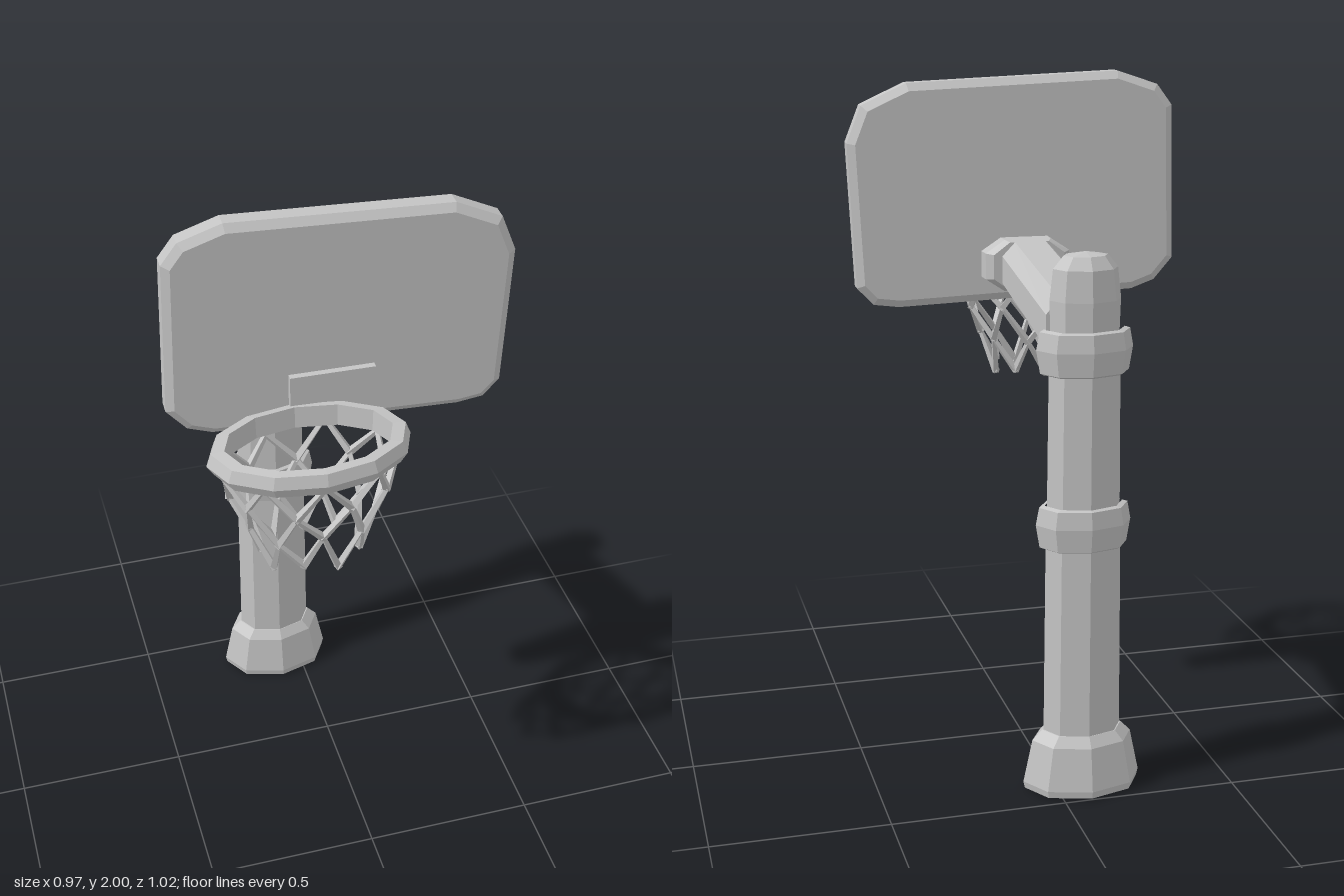
import * as THREE from 'three';

const grey = new THREE.MeshStandardMaterial({ color: 0xc4c4c4, flatShading: true });
grey.name = 'plain grey';

const v2 = (pts) => pts.map(([x, y]) => new THREE.Vector2(x, y));

function add(parent, name, geometry, x = 0, y = 0, z = 0) {
  const mesh = new THREE.Mesh(geometry, grey);
  mesh.name = name;
  mesh.position.set(x, y, z);
  parent.add(mesh);
  return mesh;
}

// Faceted oval turning: profile radii are measured along z and stretched along x
function ovalLathe(profile, sides, stretch) {
  return new THREE.LatheGeometry(v2(profile), sides).scale(stretch, 1, 1);
}

// Chamfered rectangular bar along z; each station is [z, x, y, half width, half height]
function bar(stations) {
  const corners = [[1, -0.5], [1, 0.5], [0.55, 1], [-0.55, 1], [-1, 0.5], [-1, -0.5], [-0.55, -1], [0.55, -1]];
  const n = corners.length, pos = [], idx = [];
  for (const [z, x, y, w, h] of stations)
    for (const [cx, cy] of corners) pos.push(x + cx * w, y + cy * h, z);
  for (let s = 0; s < stations.length - 1; s++)
    for (let i = 0; i < n; i++) {
      const a = s * n + i, b = s * n + (i + 1) % n;
      idx.push(a, b, b + n, a, b + n, a + n);
    }
  const last = (stations.length - 1) * n;
  for (let i = 1; i < n - 1; i++) idx.push(0, i + 1, i, last, last + i, last + i + 1);
  const g = new THREE.BufferGeometry();
  g.setAttribute('position', new THREE.Float32BufferAttribute(pos, 3));
  g.setIndex(idx);
  g.computeVertexNormals();
  return g;
}

// Thin tapering cord between two points
function cord(parent, a, b) {
  const dir = b.clone().sub(a);
  const mesh = add(parent, 'netCord', new THREE.CylinderGeometry(0.012, 0.008, dir.length() + 0.01, 4));
  mesh.position.copy(a).add(b).multiplyScalar(0.5);
  mesh.quaternion.setFromUnitVectors(new THREE.Vector3(0, 1, 0), dir.normalize());
}

export function createModel() {
  const model = new THREE.Group();
  model.name = 'basketballHoop';

  // Post: foot, shaft, collars and domed cap, all on one oval axis
  const post = new THREE.Group();
  post.name = 'post';
  post.position.set(-0.078, 0, -0.388);
  model.add(post);
  add(post, 'foot', ovalLathe([[0, 0.005], [0.115, 0.01], [0.118, 0.03], [0.1, 0.155], [0.08, 0.185], [0, 0.185]], 8, 1.46));
  add(post, 'lowerShaft', ovalLathe([[0.079, 0.17], [0.076, 0.76]], 8, 1.43));
  add(post, 'upperShaft', ovalLathe([[0.074, 0.8], [0.071, 1.28]], 8, 1.43));
  const collar = [[0.074, -0.065], [0.081, -0.06], [0.088, 0.005], [0.082, 0.055], [0.072, 0.06]];
  add(post, 'middleCollar', ovalLathe(collar, 8, 1.56), 0, 0.795, 0);
  add(post, 'topCollar', ovalLathe(collar, 8, 1.56), 0, 1.29, 0);
  add(post, 'cap', ovalLathe([[0.07, 1.3], [0.073, 1.43], [0.066, 1.515], [0.045, 1.55], [0, 1.56]], 8, 1.38));

  // Sloping arm and the flared mount behind the board
  add(model, 'arm', bar([[-0.38, -0.055, 1.345, 0.085, 0.09], [0.03, -0.028, 1.453, 0.083, 0.078]]));
  add(model, 'boardMount', bar([[0.005, -0.027, 1.455, 0.105, 0.07], [0.025, -0.027, 1.455, 0.125, 0.075], [0.09, -0.027, 1.455, 0.128, 0.075]]));

  // Board with clipped, slightly uneven corners
  const outline = new THREE.Shape(v2([
    [0.34, 1.335], [0.415, 1.345], [0.462, 1.395], [0.482, 1.81], [0.44, 1.915], [0.31, 1.975],
    [-0.31, 2.0], [-0.43, 1.96], [-0.475, 1.9], [-0.486, 1.45], [-0.43, 1.385], [-0.36, 1.36],
  ]));
  const boardGeo = new THREE.ExtrudeGeometry(outline, {
    depth: 0.044, bevelEnabled: true, bevelSegments: 1, bevelSize: 0.022, bevelThickness: 0.016, bevelOffset: -0.022,
  }).translate(0, 0, -0.022);
  add(model, 'backboard', boardGeo, 0, 0, 0.107).rotation.y = -0.022;

  // Plate joining rim and board
  const plate = add(model, 'rimPlate', new THREE.BoxGeometry(0.24, 0.15, 0.04), -0.03, 1.447, 0.143);
  plate.rotation.y = -0.022;

  // Oval rim, tipped up slightly at the front
  const hoop = new THREE.Group();
  hoop.name = 'hoop';
  hoop.position.set(-0.142, 1.408, 0.325);
  hoop.rotation.x = -0.05;
  model.add(hoop);
  add(hoop, 'rim', ovalLathe([
    [0.15, -0.03], [0.172, -0.035], [0.185, -0.005], [0.176, 0.03], [0.152, 0.034], [0.15, -0.03],
  ], 12, 1.52));

  // Net: rows of knots, each row turned half a step and drawn inwards
  const rows = [[0.245, 0.16, -0.025], [0.222, 0.146, -0.12], [0.18, 0.122, -0.22], [0.14, 0.1, -0.325]];
  const count = 9;
  const knot = (row, i) => {
    const [rx, rz, y] = rows[row];
    const t = ((i + row / 2) / count) * Math.PI * 2;
    return new THREE.Vector3(Math.sin(t) * rx, y + 0.012 * Math.sin(5 * t + row), Math.cos(t) * rz);
  };
  const net = new THREE.Group();
  net.name = 'net';
  hoop.add(net);
  for (let row = 0; row < rows.length - 1; row++)
    for (let i = 0; i < count; i++) {
      cord(net, knot(row, i), knot(row + 1, i));
      cord(net, knot(row, i), knot(row + 1, i - 1));
    }
  return model;
}
